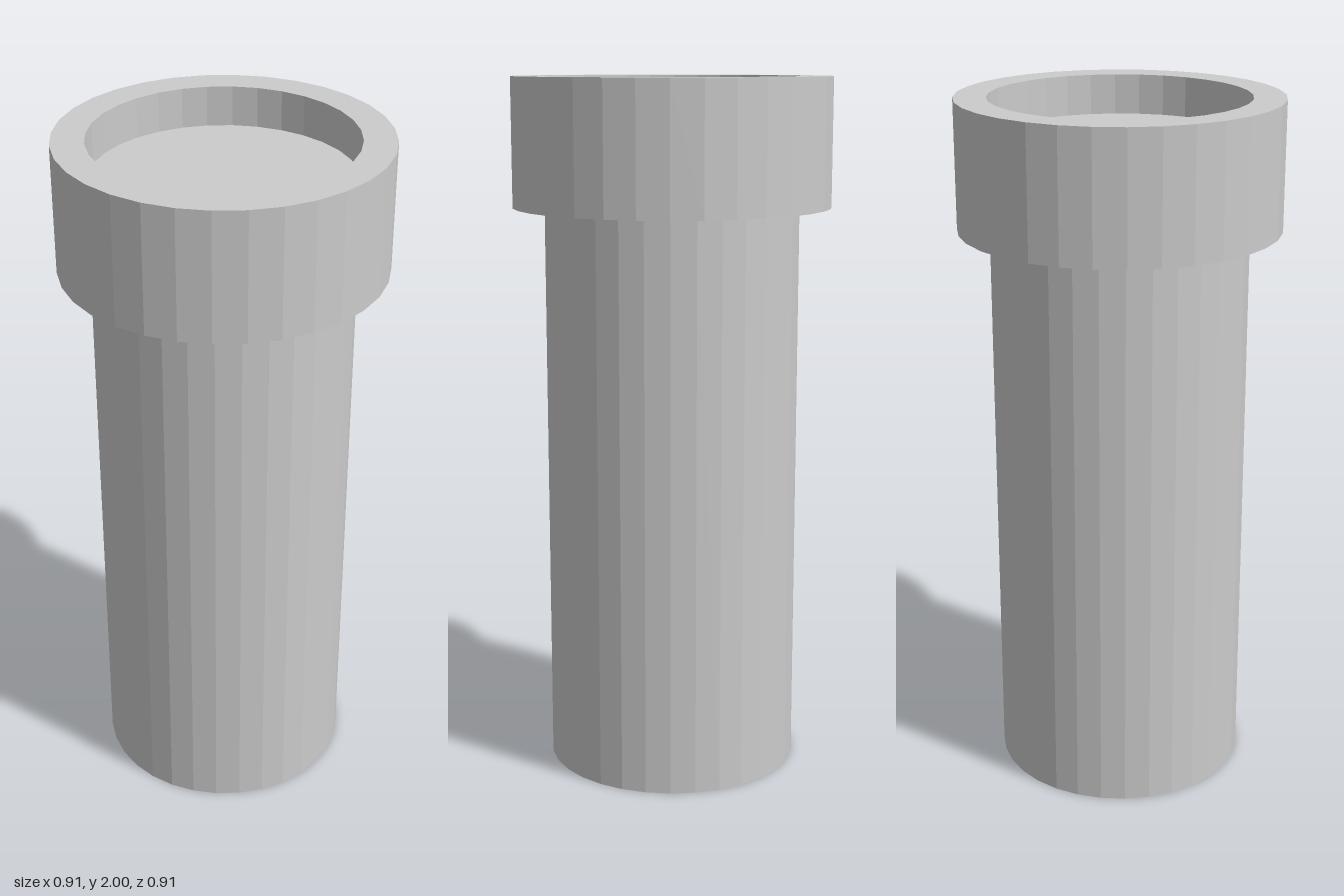
import * as THREE from 'three';

const SIDES = 32;
const SHAFT_RADIUS = 0.364;
const COLLAR_RADIUS = 0.455;
const COLLAR_BASE = 1.636;
const TOP = 2;
const FLOOR = 1.886;

// Revolves a list of [radius, height] points into a faceted part
function turned(name, profile, material) {
  const points = profile.map(([r, y]) => new THREE.Vector2(r, y));
  const mesh = new THREE.Mesh(new THREE.LatheGeometry(points, SIDES), material);
  mesh.name = name;
  return mesh;
}

export function createModel() {
  const group = new THREE.Group();
  group.name = 'collaredPipe';
  const material = new THREE.MeshStandardMaterial({ color: 0xcccccc, flatShading: true });

  // Closed base and straight wall, ending under the collar
  group.add(turned('shaft', [
    [0, 0], [SHAFT_RADIUS, 0], [SHAFT_RADIUS, COLLAR_BASE],
  ], material));

  // Wider collar: underside, outer wall, rim, then the shallow recess
  group.add(turned('collar', [
    [SHAFT_RADIUS, COLLAR_BASE], [COLLAR_RADIUS, COLLAR_BASE],
    [COLLAR_RADIUS, TOP], [SHAFT_RADIUS, TOP],
    [SHAFT_RADIUS, FLOOR], [0, FLOOR],
  ], material));

  return group;
}
